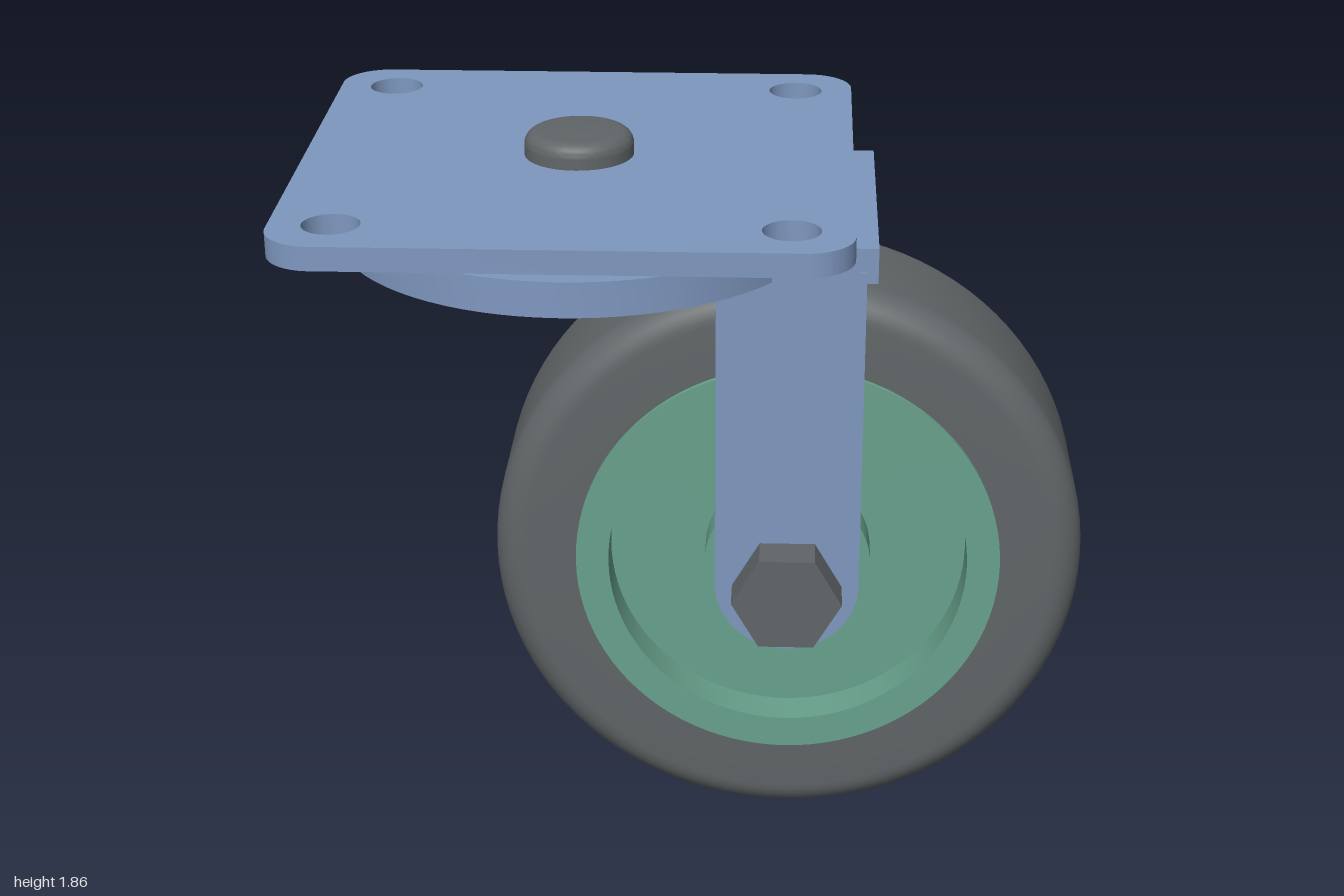
import * as THREE from 'three';
import { toCreasedNormals } from 'three/addons/utils/BufferGeometryUtils.js';

const mat = (name, color) => new THREE.MeshStandardMaterial({ name, color });

export function createModel() {
  const blue = mat('bluePaint', 0x7f98c0);
  const green = mat('greenRim', 0x68a18c);
  const dark = mat('darkGrey', 0x606567);
  const steel = mat('lightSteel', 0xa0a3a8);

  const model = new THREE.Group();
  model.name = 'swivelCaster';
  const WX = 0.23, WY = 0.77;   // wheel axle
  const PX = -0.31;             // swivel axis

  const add = (parent, name, geometry, material, x = 0, y = 0, z = 0) => {
    const mesh = new THREE.Mesh(toCreasedNormals(geometry, 0.5), material);
    mesh.name = name;
    mesh.position.set(x, y, z);
    parent.add(mesh);
    return mesh;
  };
  const v2 = (pairs) => pairs.map(([x, y]) => new THREE.Vector2(x, y));
  const lathe = (pairs, segments = 96) => new THREE.LatheGeometry(v2(pairs), segments);
  const extrude = (shape, depth) =>
    new THREE.ExtrudeGeometry(shape, { depth, bevelEnabled: false, curveSegments: 32 });
  // quarter-round corner points, angles in radians
  const fillet = (cx, cy, r, from, n = 8) => Array.from({ length: n + 1 }, (_, i) => {
    const a = from + (i / n) * Math.PI / 2;
    return [cx + r * Math.cos(a), cy + r * Math.sin(a)];
  });

  // Mounting plate with rounded corners and four bolt holes
  const h = 0.69, r = 0.12;
  const plate = new THREE.Shape();
  plate.absarc(h - r, h - r, r, 0, Math.PI / 2);
  plate.absarc(r - h, h - r, r, Math.PI / 2, Math.PI);
  plate.absarc(r - h, r - h, r, Math.PI, Math.PI * 1.5);
  plate.absarc(h - r, r - h, r, Math.PI * 1.5, Math.PI * 2);
  for (const sx of [-1, 1]) for (const sz of [-1, 1]) {
    plate.holes.push(new THREE.Path().absarc(sx * 0.54, sz * 0.54, 0.07, 0, Math.PI * 2, true));
  }
  add(model, 'mountingPlate', extrude(plate, 0.06).rotateX(-Math.PI / 2), blue, PX, 1.738);

  // Swivel disc joined to the fork bridge
  const R = 0.615, half = 0.367, a = Math.asin(half / R);
  const bridge = new THREE.Shape();
  bridge.absarc(0, 0, R, a, Math.PI * 2 - a);
  bridge.lineTo(0.75, -half);
  bridge.lineTo(0.75, half);
  bridge.closePath();
  add(model, 'swivelDisc', extrude(bridge, 0.09).rotateX(-Math.PI / 2), blue, PX, 1.6);

  // Kingpin: rounded head, shaft and lower nut
  add(model, 'kingpin', lathe([
    [0, 1.54], [0.122, 1.54], [0.122, 1.6], [0.077, 1.6], [0.077, 1.738], [0.138, 1.738],
    ...fillet(0.103, 1.825, 0.035, 0), [0, 1.86],
  ], 64), dark, PX);

  // Ring of bearing balls
  const balls = new THREE.Group();
  balls.name = 'bearingBalls';
  balls.position.set(PX, 1.715, 0);
  model.add(balls);
  for (let i = 0; i < 20; i++) {
    const t = i * Math.PI / 10;
    add(balls, 'ball', new THREE.SphereGeometry(0.048, 20, 14), steel,
      0.457 * Math.cos(t), 0, 0.457 * Math.sin(t));
  }

  // Fork legs with round lower ends
  const leg = new THREE.Shape();
  leg.absarc(0, 0, 0.183, Math.PI, Math.PI * 2);
  leg.lineTo(0.183, 0.86);
  leg.lineTo(-0.183, 0.86);
  leg.closePath();
  add(model, 'leftForkLeg', extrude(leg, 0.06), blue, WX, WY, 0.308);
  add(model, 'rightForkLeg', extrude(leg, 0.06), blue, WX, WY, -0.368);

  // Wheel: tyre over a recessed rim with a hub
  const wheel = new THREE.Group();
  wheel.name = 'wheel';
  wheel.position.set(WX, WY, 0);
  model.add(wheel);
  add(wheel, 'tyre', lathe([
    [0.5, -0.23], ...fillet(0.685, -0.15, 0.08, -Math.PI / 2),
    ...fillet(0.685, 0.15, 0.08, 0), [0.5, 0.23],
  ]).rotateX(Math.PI / 2), dark);
  const face = [[0, 0.245], [0.215, 0.245], [0.215, 0.14], [0.465, 0.14], [0.465, 0.245], [0.55, 0.245]];
  add(wheel, 'rim', lathe([
    ...face.map(([x, y]) => [x, -y]), ...face.slice().reverse(),
  ]).rotateX(Math.PI / 2), green);

  // Axle bolt: spacers, hex head in front, nut and bolt end behind
  const rod = (name, radius, z0, z1, material, sides = 48) => add(wheel, name,
    new THREE.CylinderGeometry(radius, radius, z1 - z0, sides)
      .rotateY(Math.PI / 6).rotateX(Math.PI / 2), material, 0, 0, (z0 + z1) / 2);
  rod('frontSpacer', 0.122, 0.24, 0.31, steel);
  rod('backSpacer', 0.122, -0.31, -0.24, steel);
  rod('boltHead', 0.14, 0.365, 0.47, dark, 6);
  rod('nut', 0.14, -0.49, -0.365, dark, 6);
  rod('boltEnd', 0.075, -0.52, -0.48, dark);

  return model;
}
